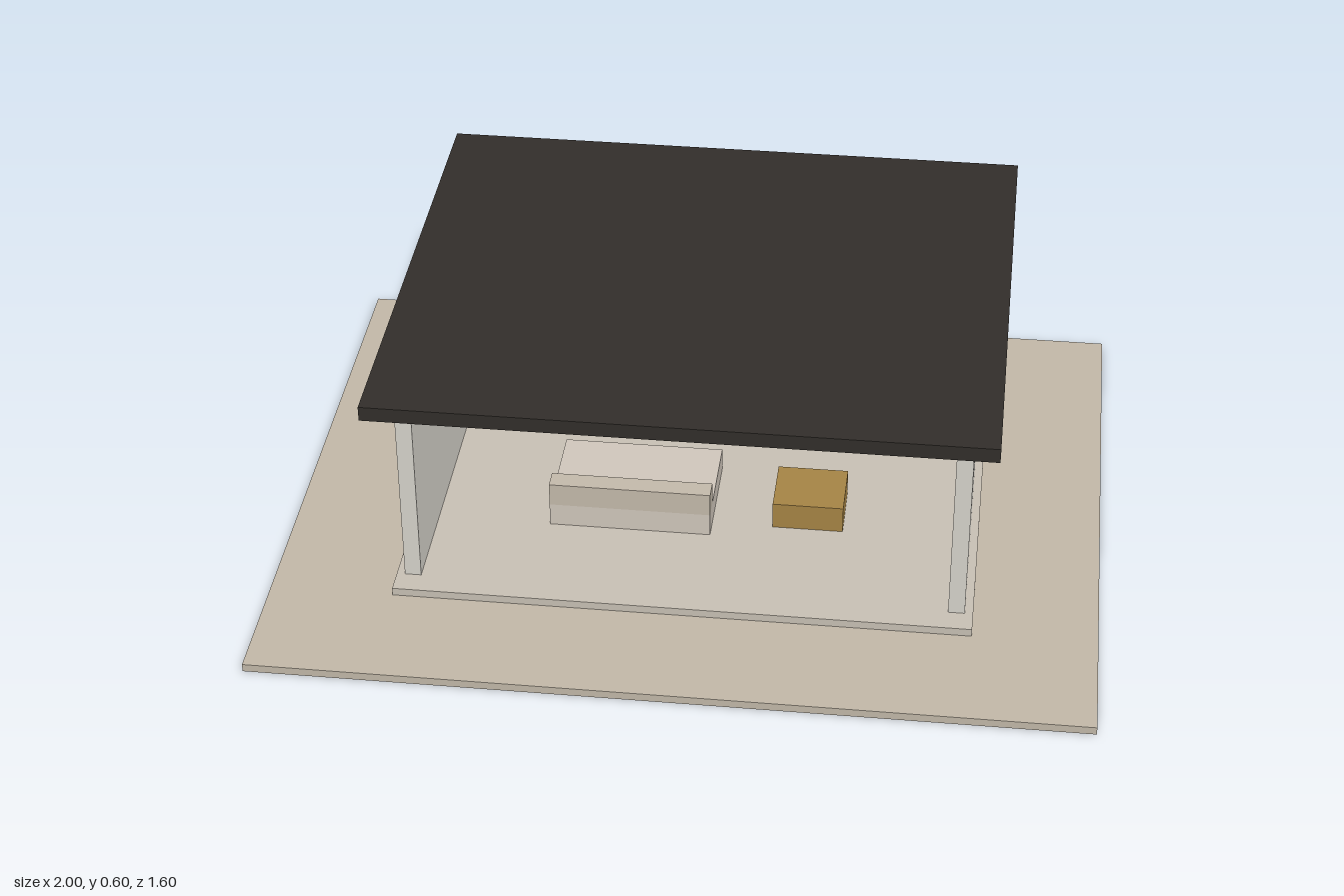
import * as THREE from 'three';

const COLORS = {
  ground: 0xc2b8a8, floor: 0xc8c0b4, wall: 0xd6d3cb, roof: 0x322e2a,
  seat: 0xd0c7bc, backrest: 0xc4baab, cabinet: 0x3a3632, wood: 0xa68445,
};

const material = (color) =>
  new THREE.MeshStandardMaterial({ color: COLORS[color], flatShading: true });

// Box given by its extents along each axis
function block(name, color, [x0, x1], [y0, y1], [z0, z1]) {
  const mesh = new THREE.Mesh(new THREE.BoxGeometry(x1 - x0, y1 - y0, z1 - z0), material(color));
  mesh.position.set((x0 + x1) / 2, (y0 + y1) / 2, (z0 + z1) / 2);
  mesh.name = name;
  return mesh;
}

// Rectangular outline in the side plane (horizontal axis is -z)
function outline(path, [z0, z1], [y0, y1]) {
  return path.moveTo(-z1, y0).lineTo(-z0, y0).lineTo(-z0, y1).lineTo(-z1, y1).closePath();
}

// Side wall with a wide window opening
function windowWall() {
  const shape = outline(new THREE.Shape(), [-0.64, 0.44], [0.04, 0.56]);
  shape.holes.push(outline(new THREE.Path(), [-0.52, 0.32], [0.24, 0.48]));
  const geometry = new THREE.ExtrudeGeometry(shape, { depth: 0.04, bevelEnabled: false });
  geometry.rotateY(Math.PI / 2).translate(0.64, 0, 0);
  const mesh = new THREE.Mesh(geometry, material('wall'));
  mesh.name = 'leftWindowWall';
  return mesh;
}

export function createModel() {
  const model = new THREE.Group();
  model.name = 'pavilion';

  // Ground plate and floor slab
  model.add(
    block('ground', 'ground', [-1, 1], [0, 0.02], [-0.8, 0.8]),
    block('floor', 'floor', [-0.7, 0.7], [0.02, 0.04], [-0.7, 0.5]),
  );

  // Three walls, open at the front, under a flat overhanging roof
  model.add(
    block('backWall', 'wall', [-0.66, 0.66], [0.04, 0.56], [-0.68, -0.64]),
    block('rightWall', 'wall', [-0.68, -0.64], [0.04, 0.56], [-0.64, 0.44]),
    windowWall(),
    block('roof', 'roof', [-0.74, 0.74], [0.56, 0.597], [-0.74, 0.54]),
  );

  // Sofa facing the back wall
  const sofa = new THREE.Group();
  sofa.name = 'sofa';
  sofa.add(
    block('seat', 'seat', [-0.36, 0.04], [0.04, 0.1], [-0.08, 0.2]),
    block('backrest', 'backrest', [-0.36, 0.04], [0.1, 0.16], [0.15, 0.2]),
  );
  model.add(sofa);

  // Low cabinet, side table and free-standing post
  model.add(
    block('lowCabinet', 'cabinet', [-0.44, 0.04], [0.04, 0.09], [-0.38, -0.26]),
    block('table', 'wood', [0.19, 0.365], [0.04, 0.11], [-0.01, 0.15]),
    block('post', 'wood', [0.27, 0.33], [0.04, 0.52], [-0.33, -0.27]),
  );
  return model;
}
